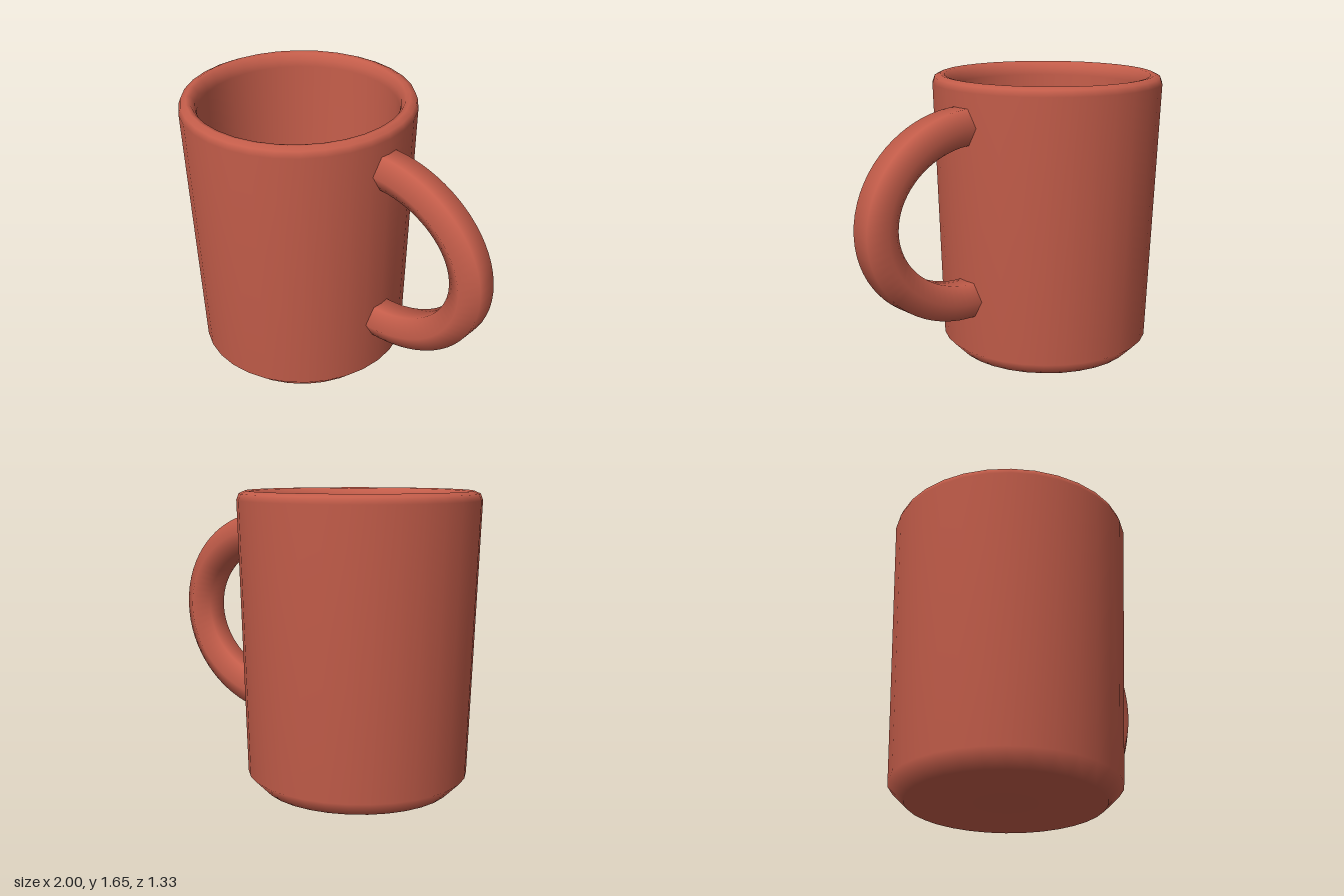
import * as THREE from 'three';

export function createModel() {
  const model = new THREE.Group();
  model.name = 'mug';
  const clay = new THREE.MeshStandardMaterial({ color: 0xc45d4a });
  clay.name = 'terracotta';

  // Cup: one profile running up the outside, over the rim and down the inside
  const profile = [
    [0, 0], [0.53, 0], [0.615, 0.085], [0.665, 1.6], [0.652, 1.635], [0.62, 1.65],
    [0.595, 1.645], [0.573, 1.61], [0.565, 1.57], [0.53, 0.14], [0.49, 0.1], [0, 0.1],
  ].map(([r, y]) => new THREE.Vector2(r, y));
  const cup = new THREE.Mesh(new THREE.LatheGeometry(profile, 32), clay);
  cup.name = 'cup';
  cup.position.x = -0.335;
  model.add(cup);

  // Handle: six-sided tube along half an ellipse, its ends sunk into the wall
  const path = new THREE.CurvePath();
  const arc = [];
  for (let i = 0; i <= 16; i++) {
    const a = Math.PI / 2 - (i / 16) * Math.PI;
    arc.push(new THREE.Vector3(0.28 + 0.62 * Math.cos(a), 0.917 + 0.498 * Math.sin(a), 0));
  }
  const start = new THREE.Vector3(0.25, 1.415, 0);
  const end = new THREE.Vector3(0.25, 0.419, 0);
  path.add(new THREE.LineCurve3(start, arc[0]));
  path.add(new THREE.CatmullRomCurve3(arc));
  path.add(new THREE.LineCurve3(arc[16], end));
  const handle = new THREE.Mesh(new THREE.TubeGeometry(path, 40, 0.116, 6), clay);
  handle.name = 'handle';
  model.add(handle);

  return model;
}
